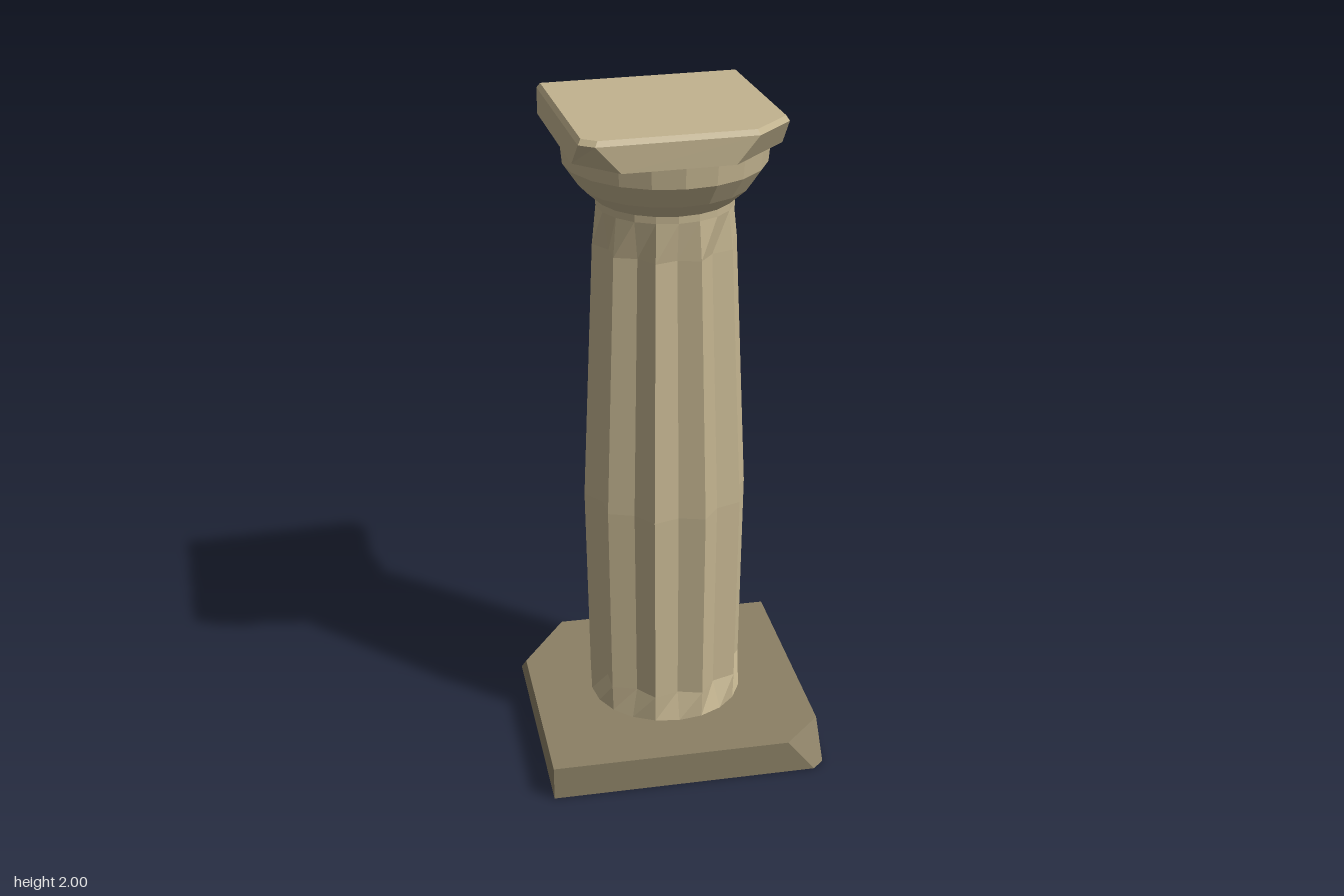
import * as THREE from 'three';

const stone = new THREE.MeshStandardMaterial({ color: 0xc2b38f, side: THREE.DoubleSide });
stone.name = 'light stone';
const darkStone = new THREE.MeshStandardMaterial({ color: 0x8b8065, side: THREE.DoubleSide });
darkStone.name = 'dark stone';

// Faceted skin through rings of [x, z] points, from bottom to top
function loft(name, material, rings, capTop) {
  const pos = [];
  const tri = (...pts) => pts.forEach((p) => pos.push(...p));
  const loops = rings.map(({ y, pts }) => pts.map(([x, z]) => [x, y, z]));
  for (let r = 0; r < loops.length - 1; r++) {
    const lo = loops[r], up = loops[r + 1];
    for (let i = 0; i < lo.length; i++) {
      const j = (i + 1) % lo.length;
      tri(lo[i], up[i], lo[j]);
      tri(up[i], up[j], lo[j]);
    }
  }
  if (capTop) {
    const top = loops[loops.length - 1];
    for (let i = 1; i < top.length - 1; i++) tri(top[0], top[i + 1], top[i]);
  }
  const geo = new THREE.BufferGeometry();
  geo.setAttribute('position', new THREE.Float32BufferAttribute(pos, 3));
  geo.computeVertexNormals();
  const mesh = new THREE.Mesh(geo, material);
  mesh.name = name;
  return mesh;
}

// Ring of ten flutes: even points are ridges, odd points are grooves
function flutedRing(y, radius, groove) {
  const pts = [];
  for (let i = 0; i < 20; i++) {
    const a = (i * Math.PI) / 10;
    const r = i % 2 ? radius * groove : radius;
    pts.push([r * Math.cos(a), r * Math.sin(a)]);
  }
  return { y, pts };
}

export function createModel() {
  const group = new THREE.Group();
  group.name = 'column';

  // Square plinth with two chipped corners, hollow below
  group.add(loft('plinth', darkStone, [
    { y: 0, pts: [[-0.36, -0.42], [0.42, -0.42], [0.42, 0.385], [0.385, 0.42], [-0.42, 0.42], [-0.42, -0.335]] },
    { y: 0.105, pts: [[-0.27, -0.42], [0.42, -0.42], [0.42, 0.3], [0.3, 0.42], [-0.42, 0.42], [-0.42, -0.2]] },
  ], true));

  // Swelling shaft, round at the ends and fluted between
  group.add(loft('shaft', stone, [
    flutedRing(0.105, 0.235, 1),
    flutedRing(0.19, 0.238, 0.86),
    flutedRing(0.8, 0.248, 0.86),
    flutedRing(1.6, 0.213, 0.86),
    flutedRing(1.715, 0.201, 1),
    flutedRing(1.737, 0.201, 1),
  ], false));

  // Bowl-shaped cushion under the top slab
  group.add(loft('cushion', stone, [
    [1.735, 0.2], [1.78, 0.25], [1.845, 0.294], [1.907, 0.3],
  ].map(([y, r]) => flutedRing(y, r, 1)), false));

  // Slightly turned top slab with undercut broken corners and a bevelled rim
  const rim = [[-0.322, -0.29], [0.284, -0.324], [0.315, 0.18], [0.205, 0.295], [-0.25, 0.32], [-0.292, 0.29]];
  group.add(loft('topSlab', stone, [
    { y: 1.907, pts: [[-0.322, -0.29], [0.284, -0.324], [0.311, 0.12], [0.14, 0.298], [-0.18, 0.316], [-0.297, 0.2]] },
    { y: 1.985, pts: rim },
    { y: 2, pts: rim.map(([x, z]) => [x * 0.97, z * 0.97]) },
  ], true));

  return group;
}
